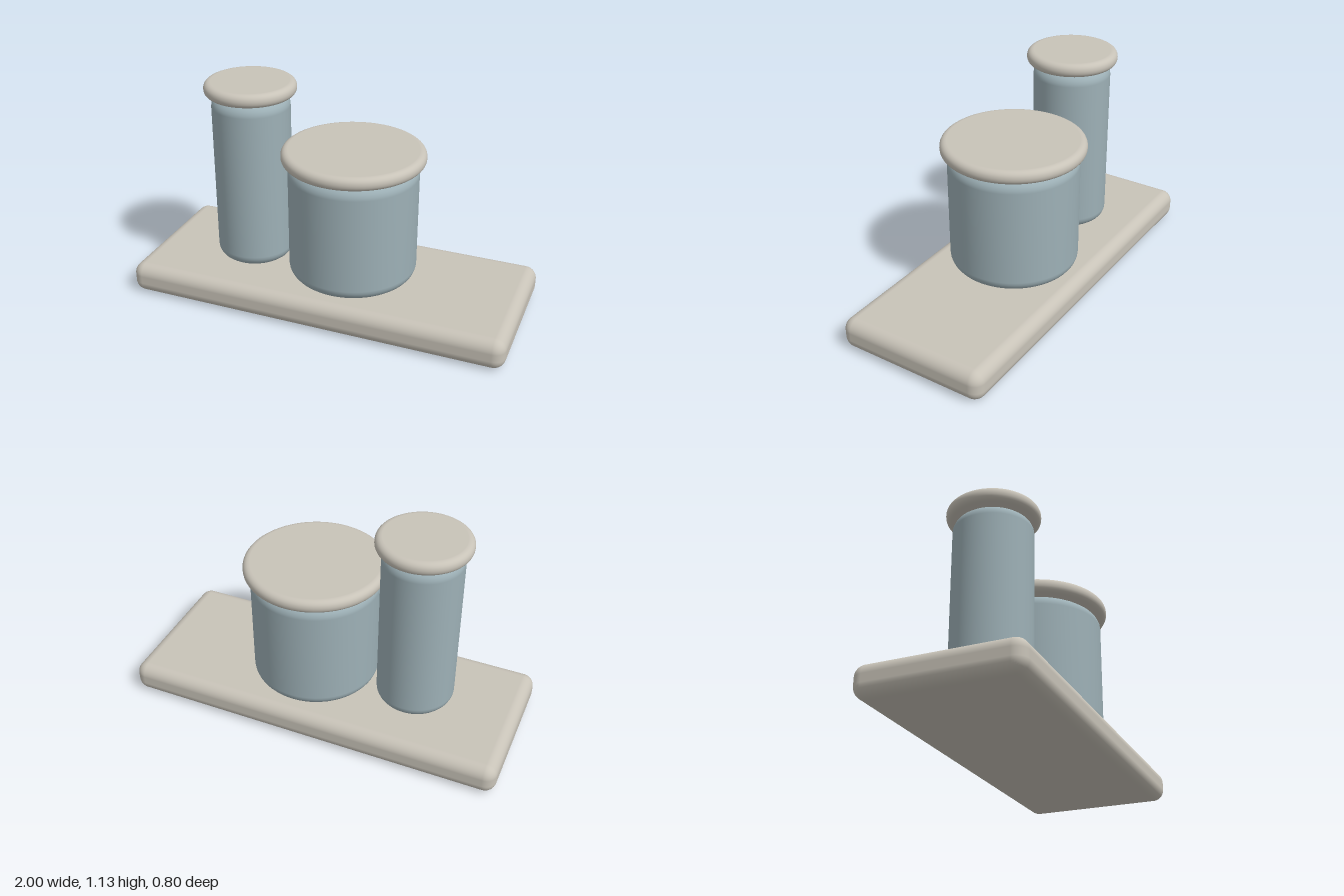
import * as THREE from 'three';
import { RoundedBoxGeometry } from 'three/addons/geometries/RoundedBoxGeometry.js';

// Solid disc or cylinder with rounded rims, standing on y = 0
function roundedCylinder(radius, height, bevel) {
  const e = 0.003, steps = 6;
  const pts = [new THREE.Vector2(0, 0), new THREE.Vector2(radius - bevel - e, 0)];
  for (const [cy, start] of [[bevel, -Math.PI / 2], [height - bevel, 0]]) {
    for (let i = 0; i <= steps; i++) {
      const a = start + (i / steps) * Math.PI / 2;
      pts.push(new THREE.Vector2(radius - bevel + Math.cos(a) * bevel, cy + Math.sin(a) * bevel));
    }
  }
  pts.push(new THREE.Vector2(radius - bevel - e, height), new THREE.Vector2(0, height));
  return new THREE.LatheGeometry(pts, 64);
}

export function createModel() {
  const group = new THREE.Group();
  const stone = new THREE.MeshStandardMaterial({ color: 0xc8c3b8 });
  stone.name = 'warm grey stone';
  const glaze = new THREE.MeshStandardMaterial({ color: 0x9db0b6 });
  glaze.name = 'blue grey glaze';

  const add = (parent, name, geometry, material, y) => {
    const mesh = new THREE.Mesh(geometry, material);
    mesh.name = name;
    mesh.position.y = y;
    parent.add(mesh);
  };

  // Tray
  const trayHeight = 0.16;
  add(group, 'tray', new RoundedBoxGeometry(2, trayHeight, 0.8, 5, 0.06), stone, trayHeight / 2);

  // Lidded jars
  const jars = [
    { name: 'tallJar', x: -0.455, radius: 0.2, height: 0.9, lid: 0.234 },
    { name: 'wideJar', x: 0.1, radius: 0.33, height: 0.62, lid: 0.363 },
  ];
  for (const j of jars) {
    const jar = new THREE.Group();
    jar.name = j.name;
    jar.position.set(j.x, trayHeight, 0);
    add(jar, 'jarBody', roundedCylinder(j.radius, j.height, 0.06), glaze, 0);
    add(jar, 'jarLid', roundedCylinder(j.lid, 0.07, 0.032), stone, j.height);
    group.add(jar);
  }
  return group;
}
